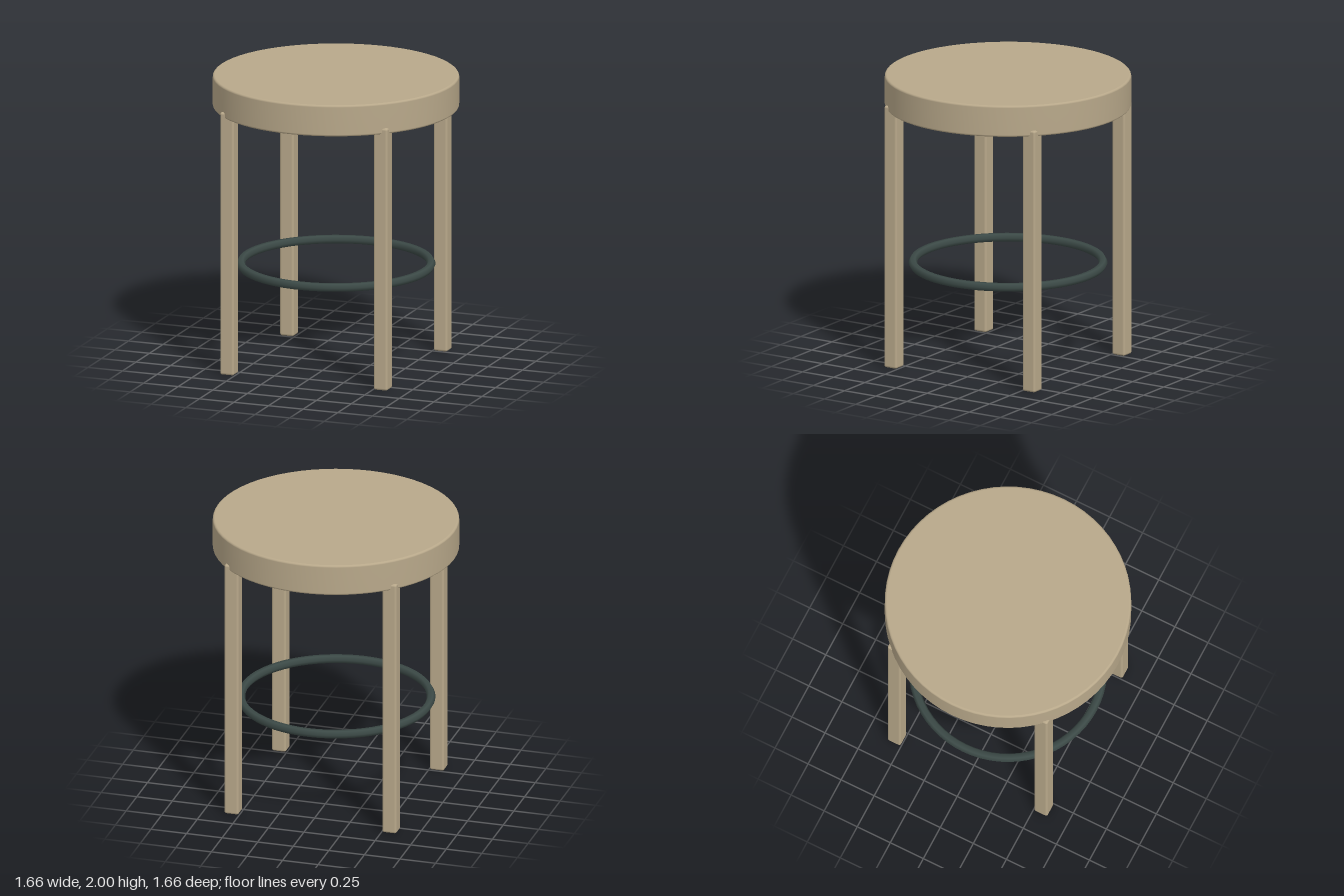
import * as THREE from 'three';
import { RoundedBoxGeometry } from 'three/addons/geometries/RoundedBoxGeometry.js';

const wood = new THREE.MeshStandardMaterial({ color: 0xb8a88a });
wood.name = 'pale wood';
const metal = new THREE.MeshStandardMaterial({ color: 0x3c4a47 });
metal.name = 'dark green metal';

// Disc with softly rounded rims, turned from a profile
function discGeometry(radius, bottom, top, bevel) {
  const pts = [new THREE.Vector2(0, bottom), new THREE.Vector2(radius - bevel, bottom)];
  const arc = (cy, start) => {
    for (let i = 0; i <= 4; i++) {
      const a = start + (i / 4) * (Math.PI / 2);
      pts.push(new THREE.Vector2(radius - bevel + bevel * Math.cos(a), cy + bevel * Math.sin(a)));
    }
  };
  arc(bottom + bevel, -Math.PI / 2);
  arc(top - bevel, 0);
  pts.push(new THREE.Vector2(radius - bevel, top), new THREE.Vector2(0, top));
  return new THREE.LatheGeometry(pts, 64);
}

export function createModel() {
  const stool = new THREE.Group();
  stool.name = 'stool';
  const add = (name, geometry, material, x, y, z) => {
    const mesh = new THREE.Mesh(geometry, material);
    mesh.name = name;
    mesh.position.set(x, y, z);
    stool.add(mesh);
    return mesh;
  };

  // Round seat
  add('seat', discGeometry(0.83, 1.783, 2, 0.014), wood, 0, 0, 0);

  // Four square legs, let into the rim of the seat
  const legHeight = 1.825;
  const legGeometry = new RoundedBoxGeometry(0.1, legHeight, 0.1, 3, 0.015);
  for (const [zName, z] of [['front', 1], ['back', -1]]) {
    for (const [xName, x] of [['Left', 1], ['Right', -1]]) {
      add(`${zName}${xName}Leg`, legGeometry, wood, x * 0.555, legHeight / 2, z * 0.555);
    }
  }

  // Foot ring with a six-sided section
  const ring = add('footRing', new THREE.TorusGeometry(0.64, 0.03, 6, 64), metal, 0, 0.685, 0);
  ring.rotation.x = Math.PI / 2;

  return stool;
}
